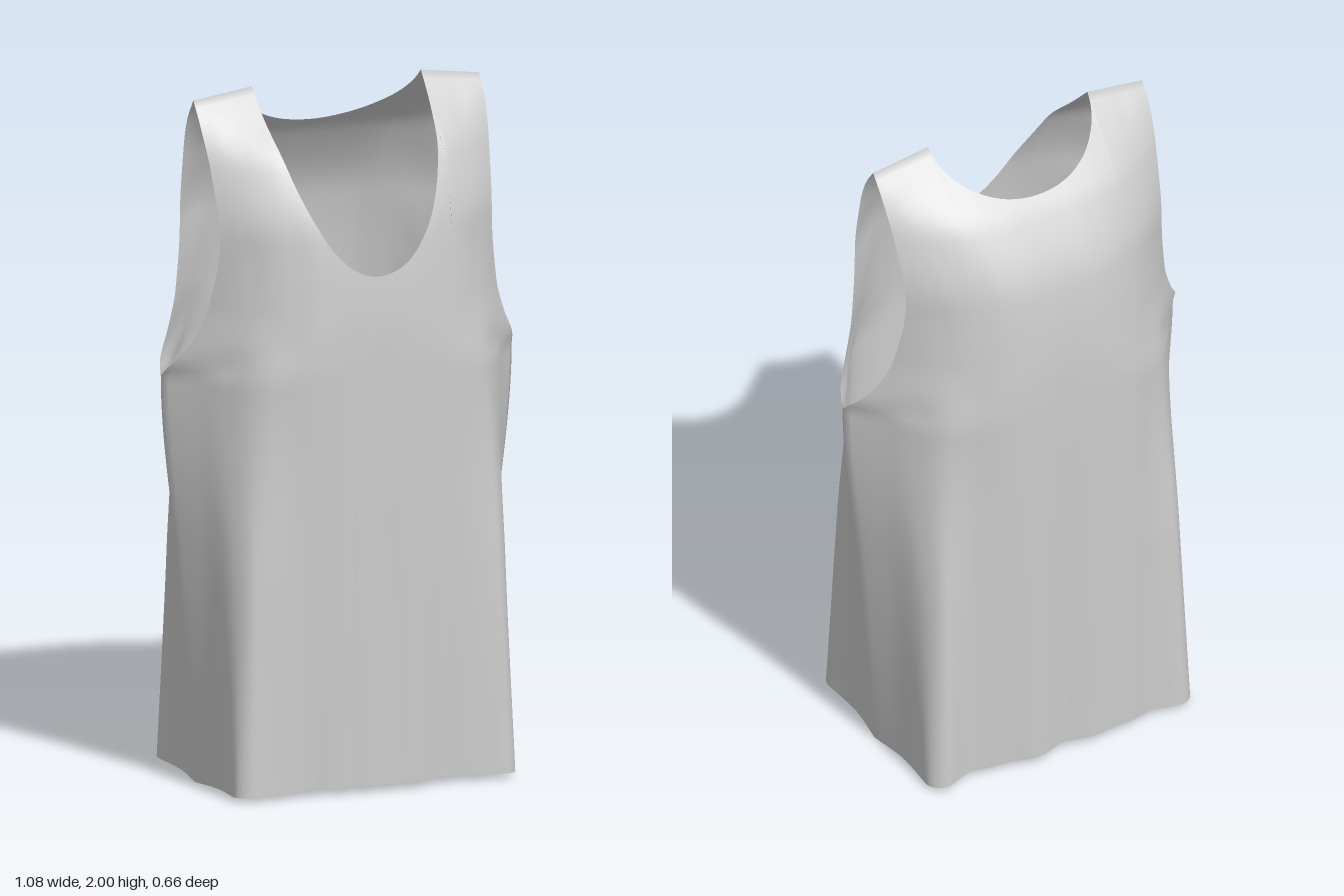
import * as THREE from 'three';
import { mergeGeometries, mergeVertices } from 'three/addons/utils/BufferGeometryUtils.js';

// Monotone cubic interpolation through (xs, ys)
function spline(xs, ys, x) {
  const n = xs.length;
  const secant = (i) => (ys[i + 1] - ys[i]) / (xs[i + 1] - xs[i]);
  const slope = (i) => {
    if (i === 0) return secant(0);
    if (i === n - 1) return secant(n - 2);
    const a = secant(i - 1), b = secant(i);
    return a * b > 0 ? (2 * a * b) / (a + b) : 0;
  };
  let i = 0;
  while (i < n - 2 && x > xs[i + 1]) i++;
  const h = xs[i + 1] - xs[i], t = Math.min(1, Math.max(0, (x - xs[i]) / h));
  const t2 = t * t, t3 = t2 * t;
  return (2 * t3 - 3 * t2 + 1) * ys[i] + (t3 - 2 * t2 + t) * h * slope(i)
    + (3 * t2 - 2 * t3) * ys[i + 1] + (t3 - t2) * h * slope(i + 1);
}

// Half cross-sections from centre (s = 0) to side seam or armhole edge (s = 1)
const S = [0, 0.2, 0.4, 0.6, 0.7, 0.8, 0.9, 1];
const even = (edge) => S.map((s) => s * edge);
const SECTIONS = [
  { y: 0, x: [0, 0.1, 0.2, 0.3, 0.385, 0.43, 0.42, 0.435], z: [0.322, 0.333, 0.315, 0.312, 0.327, 0.285, 0.15, 0.015] },
  { y: 0.6, x: [0, 0.1, 0.2, 0.3, 0.375, 0.42, 0.445, 0.485], z: [0.326, 0.335, 0.32, 0.308, 0.3, 0.245, 0.13, 0.015] },
  { y: 1.19, x: [0, 0.1, 0.2, 0.3, 0.36, 0.42, 0.47, 0.54], z: [0.332, 0.335, 0.322, 0.29, 0.255, 0.185, 0.11, 0.015] },
  { y: 1.22, x: [0, 0.1, 0.2, 0.295, 0.355, 0.41, 0.462, 0.528], z: [0.332, 0.335, 0.322, 0.29, 0.255, 0.19, 0.125, 0.048] },
  { y: 1.3, x: [0, 0.1, 0.19, 0.28, 0.335, 0.385, 0.43, 0.48], z: [0.332, 0.333, 0.32, 0.286, 0.255, 0.21, 0.16, 0.1] },
  { y: 1.4, x: even(0.443), z: [0.328, 0.328, 0.315, 0.282, 0.255, 0.22, 0.178, 0.13] },
  { y: 1.6, x: even(0.418), z: [0.305, 0.305, 0.295, 0.265, 0.245, 0.22, 0.19, 0.155] },
  { y: 1.8, x: even(0.428), z: [0.215, 0.215, 0.21, 0.195, 0.18, 0.16, 0.137, 0.112] },
  { y: 1.93, x: even(0.438), z: [0.09, 0.09, 0.088, 0.08, 0.077, 0.072, 0.068, 0.06] },
  { y: 2, x: even(0.44), z: S.map(() => 0.015) },
];
const LEVELS = SECTIONS.map((c) => c.y);

// Column positions: denser towards the steep sides of the neckline
const NECK_S = 0.26 / 0.44, NECK_COLS = 24, SHOULDER_COLS = 20, ROWS = 96;
const half = [];
for (let i = 0; i <= NECK_COLS; i++) {
  const a = (i / NECK_COLS) * Math.PI / 2;
  half.push({ s: NECK_S * Math.sin(a), dip: Math.cos(a) });
}
for (let i = 1; i <= SHOULDER_COLS; i++) {
  half.push({ s: NECK_S + (1 - NECK_S) * i / SHOULDER_COLS, dip: 0 });
}
const columns = [
  ...half.slice(1).reverse().map((c) => ({ ...c, side: -1 })),
  ...half.map((c) => ({ ...c, side: 1 })),
];

// One cloth panel; front is +1 or -1, neckDepth is the drop of the neckline
function panel(front, neckDepth) {
  const pos = [], index = [];
  for (const { s, dip, side } of columns) {
    const hem = 0.02 * (1 - s ** 4), top = 2 - neckDepth * dip;
    const colX = SECTIONS.map((c) => spline(S, c.x, s));
    const colZ = SECTIONS.map((c) => spline(S, c.z, s));
    for (let r = 0; r <= ROWS; r++) {
      const y = hem + (top - hem) * r / ROWS;
      const x = side * spline(LEVELS, colX, y);
      let z = spline(LEVELS, colZ, y) - 0.015;
      // Soft hanging folds, fading out at the seams and the yoke
      const fade = Math.max(0, 1 - y / 1.7) * (1 - s ** 6);
      z += fade * (0.006 * Math.sin(19 * x + front) + 0.003 * Math.sin(43 * x + 2 * front + y));
      z = 0.015 + front * z * (front > 0 ? 1 : 1.04);
      // Shoulders slope down towards the armholes
      const slope = 0.025 * Math.max(0, (s - NECK_S) / (1 - NECK_S)) * (y / 2) ** 8;
      pos.push(x, y - slope, z);
    }
  }
  const n = ROWS + 1;
  for (let c = 0; c < columns.length - 1; c++) {
    for (let r = 0; r < ROWS; r++) {
      const a = c * n + r, b = a + n;
      if (front > 0) index.push(a, b, b + 1, a, b + 1, a + 1);
      else index.push(a, b + 1, b, a, a + 1, b + 1);
    }
  }
  const g = new THREE.BufferGeometry();
  g.setAttribute('position', new THREE.Float32BufferAttribute(pos, 3));
  g.setIndex(index);
  return g;
}

export function createModel() {
  const group = new THREE.Group();
  group.name = 'tankTop';
  const cloth = new THREE.MeshStandardMaterial({ color: 0xcccccc, side: THREE.DoubleSide });
  cloth.name = 'light grey cloth';

  // Front and back panels sewn together at the sides and shoulders
  const geometry = mergeVertices(mergeGeometries([panel(1, 0.51), panel(-1, 0.155)]), 1e-4);
  geometry.computeVertexNormals();
  const shirt = new THREE.Mesh(geometry, cloth);
  shirt.name = 'shirtBody';
  group.add(shirt);
  return group;
}
